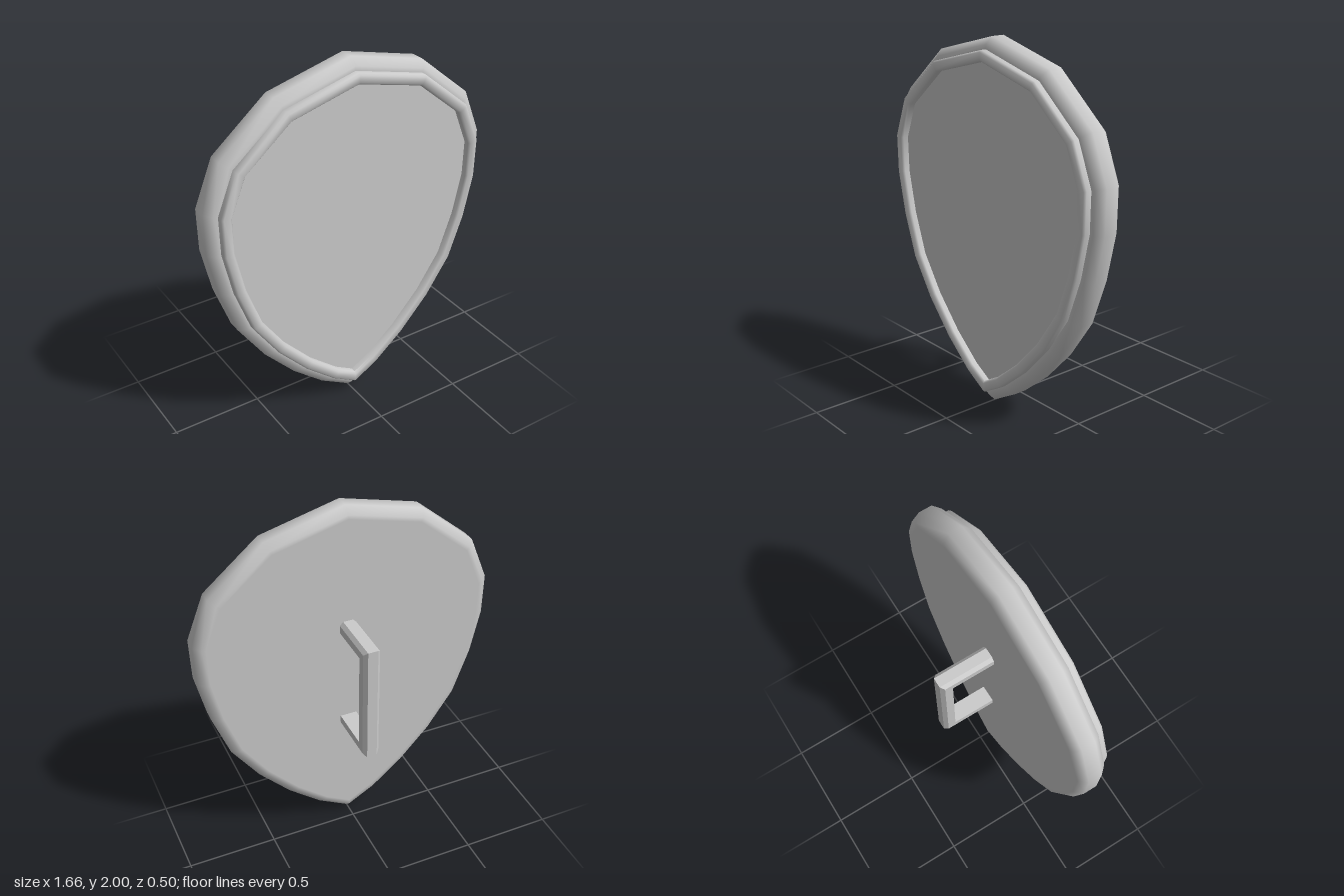
import * as THREE from 'three';
import { toCreasedNormals } from 'three/addons/utils/BufferGeometryUtils.js';

// Right half of the shield outline, from the bottom tip to the top
const HALF = [[0, 0], [0.175, 0.1], [0.355, 0.25], [0.53, 0.44], [0.68, 0.66], [0.77, 0.91],
  [0.825, 1.16], [0.83, 1.39], [0.73, 1.64], [0.43, 1.89], [0, 2]];
const OUTLINE = [...HALF, ...HALF.slice(1, -1).reverse().map(([x, y]) => [-x, y])];

// Outline moved inwards by a mitred distance, at depth z
function ring(inset, z) {
  const n = OUTLINE.length;
  const normal = (a, b) => new THREE.Vector2(b[1] - a[1], a[0] - b[0]).normalize();
  return OUTLINE.map((p, i) => {
    const n1 = normal(OUTLINE[(i + n - 1) % n], p);
    const n2 = normal(p, OUTLINE[(i + 1) % n]);
    const m = n1.clone().add(n2).multiplyScalar(inset / (1 + n1.dot(n2)));
    return new THREE.Vector3(p[0] - m.x, p[1] - m.y, z);
  });
}

const centre = (z) => OUTLINE.map(() => new THREE.Vector3(0, 1.05, z));

// Skin between successive closed loops of points
function loft(loops) {
  const pos = [];
  const tri = (a, b, c) => {
    if (a.equals(b) || b.equals(c) || c.equals(a)) return;
    for (const v of [a, b, c]) pos.push(v.x, v.y, v.z);
  };
  for (let i = 0; i < loops.length - 1; i++) {
    const p = loops[i], q = loops[i + 1];
    for (let j = 0; j < p.length; j++) {
      const k = (j + 1) % p.length;
      tri(p[j], p[k], q[k]);
      tri(p[j], q[k], q[j]);
    }
  }
  const geo = new THREE.BufferGeometry();
  geo.setAttribute('position', new THREE.Float32BufferAttribute(pos, 3));
  geo.computeVertexNormals();
  return geo;
}

// Square bracket with chamfered outer edges, mitred at its corners
function handleGeometry() {
  const top = 1.35, bottom = 0.665, back = -0.255, root = 0.07;
  // [x, distance in from the outer side]
  const section = [[-0.047, 0.065], [-0.047, 0.02], [-0.028, 0], [0.028, 0], [0.047, 0.02], [0.047, 0.065]];
  const loop = (f) => section.map(([x, d]) => new THREE.Vector3(x + 0.004, ...f(d)));
  return loft([
    loop((d) => [top - d, root]),
    loop((d) => [top - d, back + d]),
    loop((d) => [bottom + d, back + d]),
    loop((d) => [bottom + d, root]),
  ]);
}

export function createModel() {
  const group = new THREE.Group();
  group.name = 'shield';
  const material = new THREE.MeshStandardMaterial({ color: 0xcccccc });
  const add = (name, geometry, mat = material) => {
    const mesh = new THREE.Mesh(geometry, mat);
    mesh.name = name;
    group.add(mesh);
  };

  // Thick board with bevelled front and back edges
  add('board', toCreasedNormals(loft([
    centre(0.053), ring(0.06, 0.053), ring(0.037, 0.053), ring(0, 0.093),
    ring(0, 0.167), ring(0.037, 0.207), ring(0.06, 0.207), centre(0.207),
  ]), 1.0));

  // Raised border standing on the front of the board
  add('rim', toCreasedNormals(loft([
    ring(0.06, 0.2), ring(0.06, 0.236), ring(0.07, 0.248),
    ring(0.107, 0.248), ring(0.117, 0.236), ring(0.117, 0.2),
  ]), 1.0));

  // Grip on the back
  const flat = material.clone();
  flat.flatShading = true;
  flat.side = THREE.DoubleSide;
  add('handle', handleGeometry(), flat);

  return group;
}
